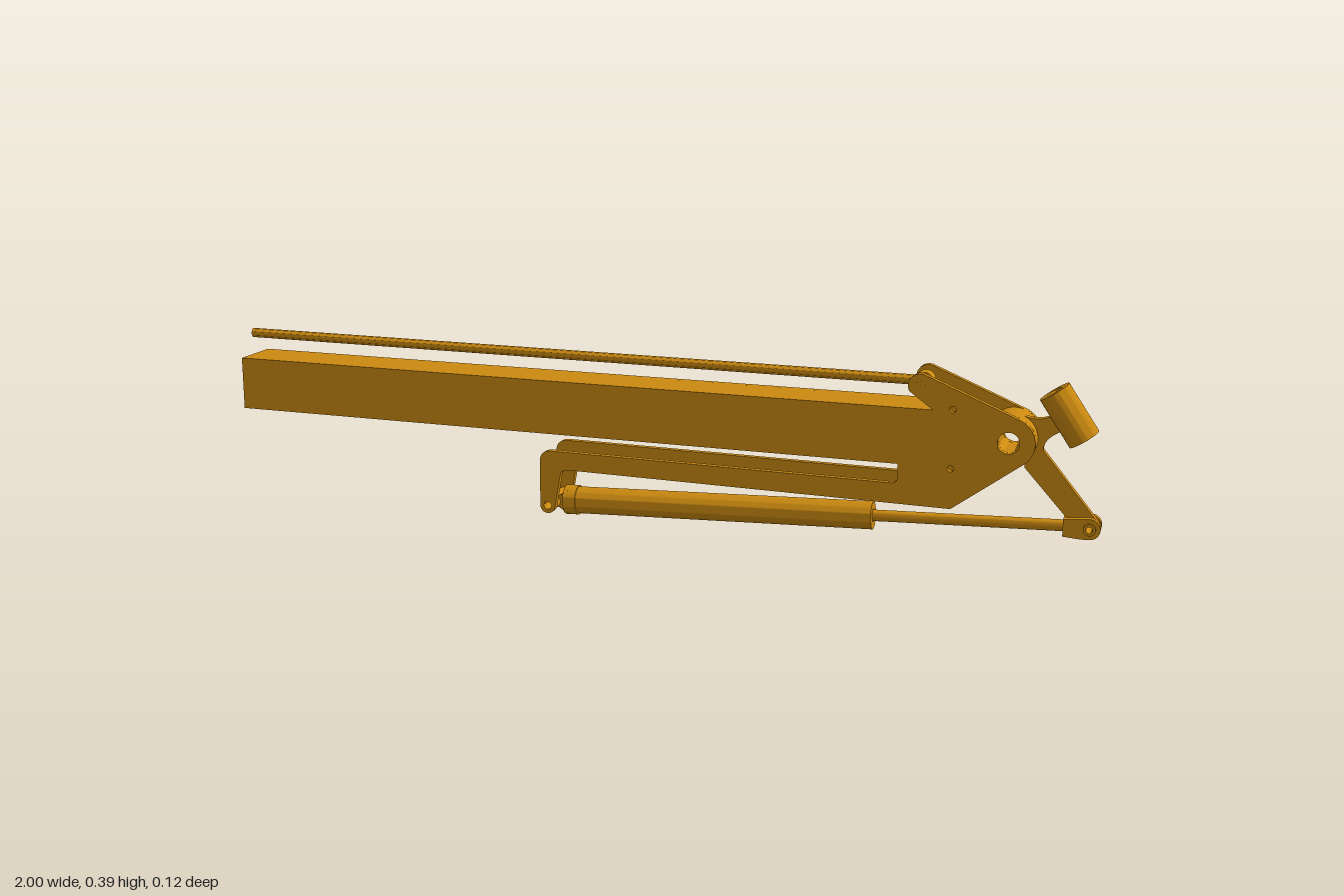
import * as THREE from 'three';
import { toCreasedNormals } from 'three/addons/utils/BufferGeometryUtils.js';

const material = new THREE.MeshStandardMaterial({ color: 0xcc8a10 });
const HALF = 0.061, INNER = 0.046;   // outer and inner half width of the boom

export function createModel() {
  const model = new THREE.Group();
  model.name = 'craneBoom';

  const add = (name, geometry) => {
    const mesh = new THREE.Mesh(toCreasedNormals(geometry, 0.6), material);
    mesh.name = name;
    model.add(mesh);
    return mesh;
  };
  // flat part drawn in the xy plane, reaching from z0 to z1
  const plate = (name, shape, z0, z1) => {
    const g = new THREE.ExtrudeGeometry(shape, { depth: z1 - z0, bevelEnabled: false, curveSegments: 32 });
    return add(name, g.translate(0, 0, z0));
  };
  const polygon = (pts) => new THREE.Shape(pts.map(([x, y]) => new THREE.Vector2(x, y)));
  const hole = (shape, x, y, r) => {
    shape.holes.push(new THREE.Path().absarc(x, y, r, 0, Math.PI * 2, true));
  };
  // round bar (inner = 0) or sleeve between two points
  const sleeve = (name, a, b, outer, inner = 0) => {
    const from = new THREE.Vector3(...a), dir = new THREE.Vector3(...b).sub(from);
    const ring = new THREE.Shape().absarc(0, 0, outer, 0, Math.PI * 2, false);
    if (inner) hole(ring, 0, 0, inner);
    const g = new THREE.ExtrudeGeometry(ring, { depth: dir.length(), bevelEnabled: false, curveSegments: 32 });
    const mesh = add(name, g);
    mesh.position.copy(from);
    mesh.quaternion.setFromUnitVectors(new THREE.Vector3(0, 0, 1), dir.normalize());
    return mesh;
  };
  const across = (name, x, y, half, outer, inner) =>
    sleeve(name, [x, y, -half], [x, y, half], outer, inner);

  // pivots
  const knuckle = [0.805, 0.262], lug = [0.617, 0.372];
  const base = [-0.225, 0.038], tip = [0.977, 0.08];

  // side plates: boom wall, lower arm with its hanger, knuckle end and top lug
  const side = new THREE.Shape();
  side.moveTo(-1, 0.213);
  side.lineTo(0.575, 0.2);
  side.lineTo(0.575, 0.17);
  side.quadraticCurveTo(0.575, 0.157, 0.56, 0.157);
  side.lineTo(-0.215, 0.167);
  side.quadraticCurveTo(-0.243, 0.167, -0.243, 0.14);
  side.absarc(...base, 0.018, Math.PI, Math.PI * 2, false);
  side.lineTo(-0.194, 0.11);
  side.quadraticCurveTo(-0.192, 0.125, -0.175, 0.125);
  side.lineTo(0.58, 0.112);
  side.lineTo(0.69, 0.11);
  side.absarc(...knuckle, 0.055, -0.8, 1.1, false);
  side.absarc(...lug, 0.026, 1.1, Math.PI + 0.5, false);
  side.lineTo(0.645, 0.3225);
  side.lineTo(-1, 0.335);
  hole(side, ...knuckle, 0.023);
  hole(side, ...lug, 0.011);
  hole(side, ...base, 0.009);
  hole(side, 0.687, 0.326, 0.007);
  hole(side, 0.687, 0.198, 0.007);
  plate('leftSidePlate', side, INNER, HALF);
  plate('rightSidePlate', side, -HALF, -INNER);

  // top and bottom walls of the hollow boom
  plate('boomTop', polygon([[-1, 0.323], [0.67, 0.31], [0.67, 0.3223], [-1, 0.335]]), -INNER, INNER);
  plate('boomBottom', polygon([[-1, 0.213], [0.67, 0.199], [0.67, 0.211], [-1, 0.225]]), -INNER, INNER);

  // tie rod above the boom, with its eye and pin
  sleeve('tieRod', [-1, 0.386, 0], [0.6, 0.3725, 0], 0.011);
  across('tieRodEye', ...lug, 0.017, 0.021, 0.0105);
  across('tieRodPin', ...lug, HALF + 0.001, 0.011);

  // knuckle: hub, web and tilted socket
  across('knuckleHub', ...knuckle, 0.045, 0.055, 0.023);
  const web = new THREE.Shape();
  web.moveTo(0.835, 0.2);
  web.lineTo(0.936, 0.088);
  web.absarc(...tip, 0.02, Math.PI * 1.2, Math.PI * 2.2, false);
  web.lineTo(0.872, 0.24);
  web.quadraticCurveTo(0.872, 0.268, 0.912, 0.285);
  web.lineTo(0.893, 0.318);
  web.quadraticCurveTo(0.86, 0.298, 0.826, 0.313);
  web.absarc(...knuckle, 0.054, 1.2, 5.3, false);
  hole(web, ...knuckle, 0.023);
  hole(web, ...tip, 0.01);
  plate('knuckleWeb', web, -0.009, 0.009);
  sleeve('knuckleSocket', [0.888, 0.366, 0], [0.954, 0.268, 0], 0.035, 0.018);

  // hydraulic cylinder under the boom
  const onAxis = (x) => [x, base[1] + (x - base[0]) * (tip[1] - base[1]) / (tip[0] - base[0]), 0];
  sleeve('cylinderBarrel', onAxis(-0.185), onAxis(0.515), 0.031, 0.014);
  sleeve('cylinderBaseCap', onAxis(-0.2), onAxis(-0.17), 0.034);
  sleeve('pistonRod', onAxis(-0.17), onAxis(0.935), 0.0125);
  across('cylinderBaseEye', ...base, INNER, 0.016, 0.009);
  plate('cylinderBaseLug', polygon([[-0.215, 0.026], [-0.19, 0.012], [-0.19, 0.066], [-0.215, 0.05]]), -0.022, 0.022);

  // fork at the end of the piston rod
  const cheek = new THREE.Shape();
  cheek.moveTo(0.922, 0.06);
  cheek.lineTo(0.96, 0.057);
  cheek.absarc(...tip, 0.0225, -Math.PI / 2, Math.PI / 2, false);
  cheek.lineTo(0.922, 0.098);
  hole(cheek, ...tip, 0.01);
  plate('leftForkCheek', cheek, 0.0095, 0.024);
  plate('rightForkCheek', cheek, -0.024, -0.0095);
  plate('forkBridge', polygon([[0.922, 0.06], [0.934, 0.06], [0.934, 0.098], [0.922, 0.098]]), -0.0095, 0.0095);
  across('forkPin', ...tip, 0.03, 0.013, 0.007);

  return model;
}
